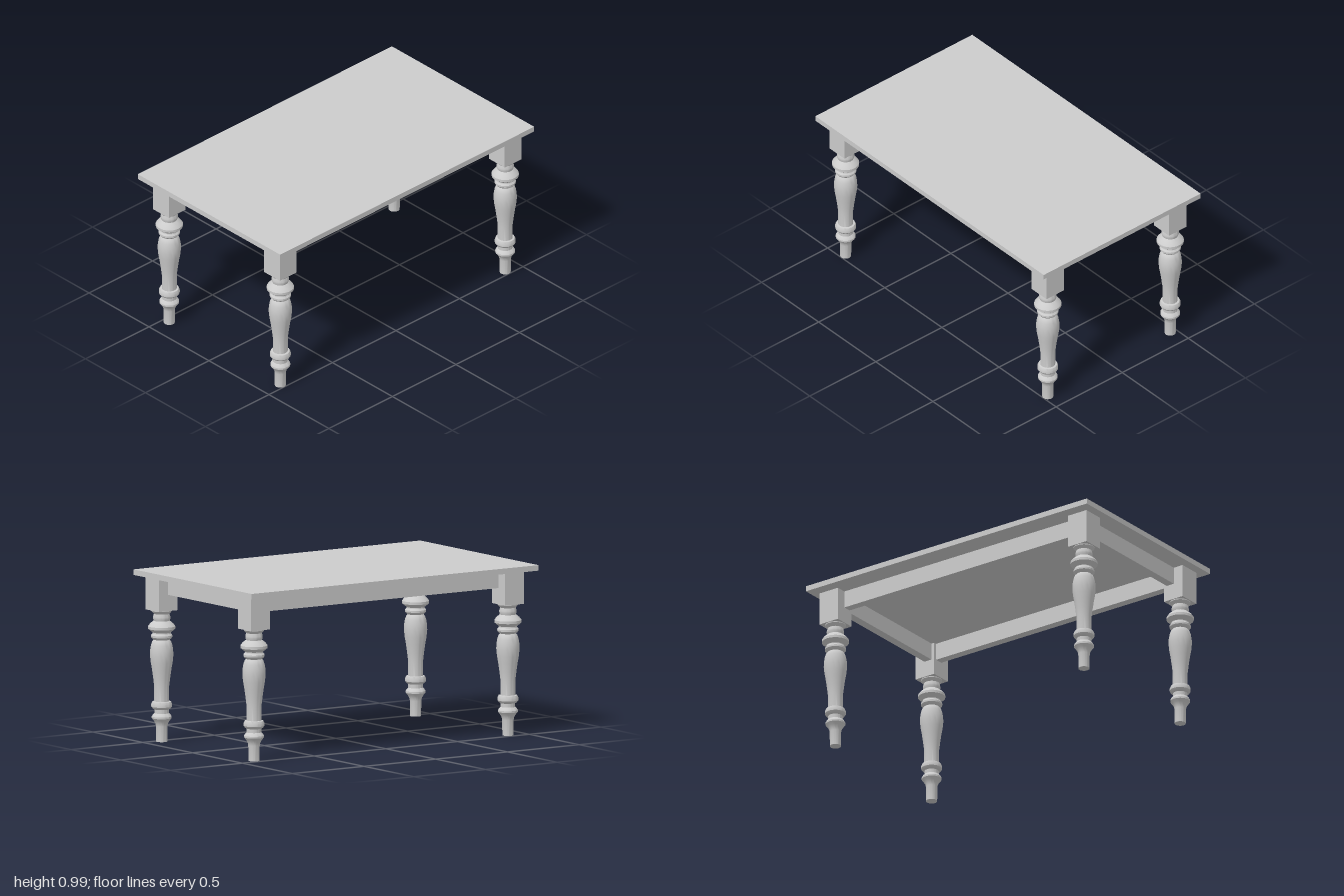
import * as THREE from 'three';
import { toCreasedNormals } from 'three/addons/utils/BufferGeometryUtils.js';

const material = new THREE.MeshStandardMaterial({ color: 0xcccccc });

// Turned leg outline: [radius, height] from the foot up
const LEG_PROFILE = [
  [0, 0], [0.032, 0], [0.033, 0.09], [0.037, 0.107], [0.046, 0.122], [0.057, 0.136],
  [0.057, 0.146], [0.052, 0.155], [0.042, 0.165], [0.042, 0.187],
  [0.052, 0.192], [0.06, 0.203], [0.06, 0.219], [0.054, 0.232], [0.043, 0.234],
  [0.043, 0.32], [0.049, 0.37], [0.056, 0.42], [0.063, 0.46], [0.067, 0.5],
  [0.066, 0.53], [0.061, 0.56], [0.054, 0.58], [0.045, 0.59],
  [0.053, 0.595], [0.061, 0.605], [0.061, 0.616], [0.053, 0.626],
  [0.052, 0.632], [0.078, 0.653], [0.078, 0.668], [0.066, 0.684], [0.046, 0.7],
  [0.05, 0.713], [0.05, 0.722], [0.045, 0.74], [0.06, 0.757], [0.06, 0.765],
];

const LEG_X = 0.885, LEG_Z = 0.463;   // leg spacing from the middle of the frame
const BLOCK = 0.132;                  // square block at the head of each leg
const UNDER_TOP = 0.958;              // underside of the tabletop
const RAIL = 0.05, RAIL_INSET = 0.063;

function box(name, w, h, d, x, y, z) {
  const mesh = new THREE.Mesh(new THREE.BoxGeometry(w, h, d), material);
  mesh.name = name;
  mesh.position.set(x, y, z);
  return mesh;
}

export function createModel() {
  const table = new THREE.Group();
  table.name = 'table';

  table.add(box('tabletop', 2, 0.032, 1.187, 0, UNDER_TOP + 0.016, 0));

  // The frame sits a touch off centre beneath the top
  const frame = new THREE.Group();
  frame.name = 'frame';
  frame.position.set(0.005, 0, 0.005);
  table.add(frame);

  const points = LEG_PROFILE.map(([r, y]) => new THREE.Vector2(r, y));
  const turned = toCreasedNormals(new THREE.LatheGeometry(points, 40), 0.5);

  // Legs with square heads
  for (const sx of [-1, 1]) {
    for (const sz of [-1, 1]) {
      const leg = new THREE.Group();
      leg.name = `${sz > 0 ? 'front' : 'back'}${sx > 0 ? 'Left' : 'Right'}Leg`;
      leg.position.set(sx * LEG_X, 0, sz * LEG_Z);
      const shaft = new THREE.Mesh(turned, material);
      shaft.name = 'turnedShaft';
      leg.add(shaft, box('legBlock', BLOCK, 0.196, BLOCK, 0, UNDER_TOP - 0.098, 0));
      frame.add(leg);
    }
  }

  // Aprons between the blocks, set back from their outer faces
  const shift = BLOCK / 2 - RAIL_INSET - RAIL / 2;
  const railY = (UNDER_TOP + 0.857) / 2, railH = UNDER_TOP - 0.857;
  for (const s of [-1, 1]) {
    frame.add(
      box(s > 0 ? 'frontApron' : 'backApron', 2 * LEG_X - BLOCK, railH, RAIL,
        0, railY, s * (LEG_Z + shift)),
      box(s > 0 ? 'leftApron' : 'rightApron', RAIL, railH, 2 * LEG_Z - BLOCK,
        s * (LEG_X + shift), railY, 0),
    );
  }

  return table;
}
